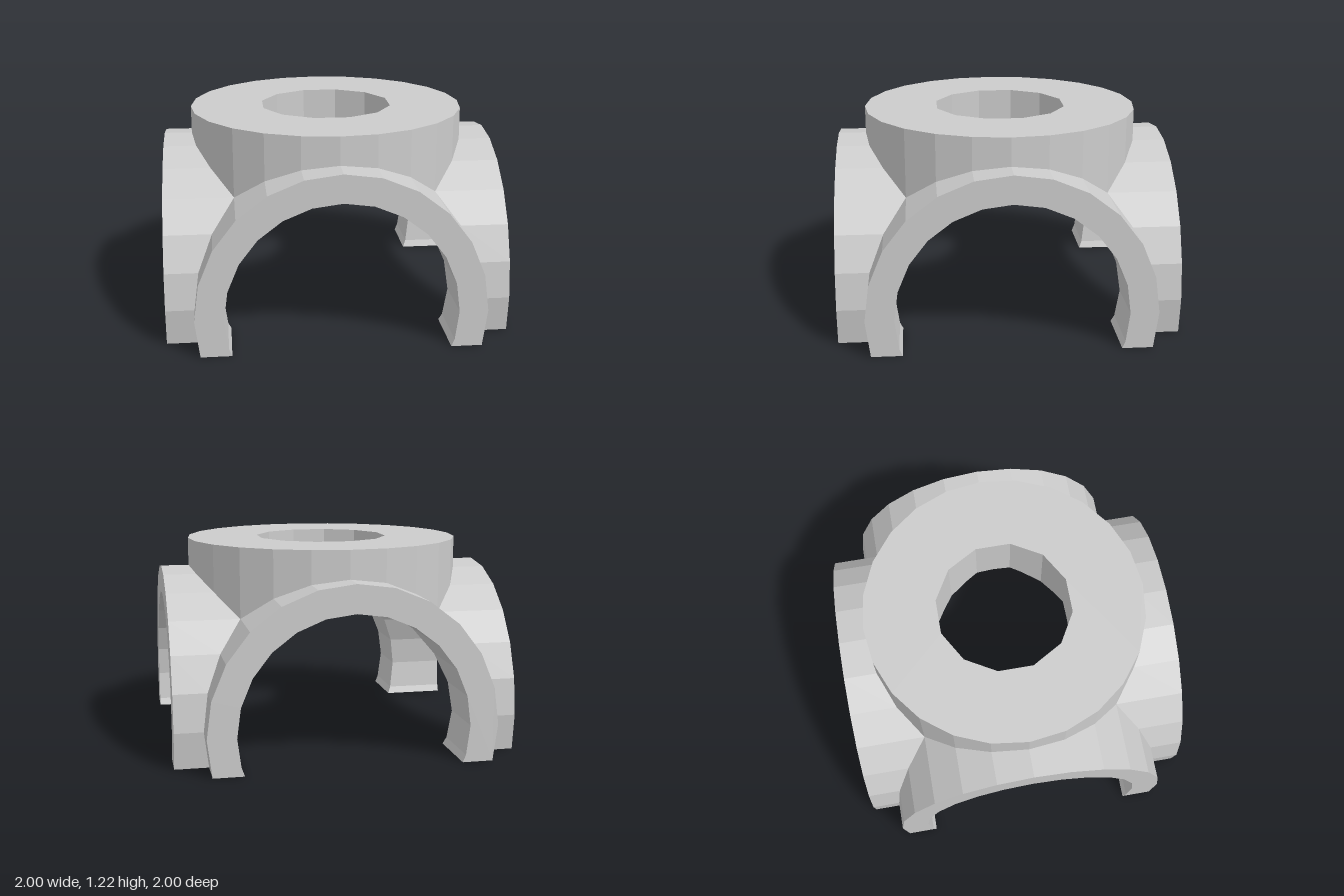
import * as THREE from 'three';

const STEP = Math.PI / 12;          // 24-sided tubes
const R = 0.833, BORE = 0.667;      // outer tube and bore radius
const HOLE = 0.404;                 // 12-sided hole in the top
const AXIS = R * Math.sin(STEP);    // height of the tube axes
const TOP = 1 + AXIS;

const material = new THREE.MeshStandardMaterial({ color: 0xcccccc, flatShading: true, side: THREE.DoubleSide });
const P = (x, y, z) => new THREE.Vector3(x, y, z);

function mesh(name, geometry) {
  const m = new THREE.Mesh(geometry, material);
  m.name = name;
  return m;
}

// Flat-shaded band of quads between two polylines
function strip(name, a, b) {
  const pts = [];
  for (let i = 0; i < a.length - 1; i++) pts.push(a[i], a[i + 1], b[i + 1], a[i], b[i + 1], b[i]);
  const g = new THREE.BufferGeometry().setFromPoints(pts);
  g.computeVertexNormals();
  return mesh(name, g);
}

// Arch profile as {z, y}, over the top from one foot to the other
function arch(radius, from, to) {
  const pts = [];
  for (let i = from; i <= to; i++) {
    pts.push({ z: radius * Math.sin(i * STEP), y: AXIS + radius * Math.cos(i * STEP) });
  }
  return pts;
}

// Corners of the top hole
const holeX = HOLE * Math.cos(STEP), holeZ = HOLE * Math.sin(STEP), holeD = HOLE * Math.SQRT1_2;

// Where the hole edge lies in x at a given z, or the mitre line beyond it
function holeEdge(z) {
  const d = Math.abs(z);
  if (d <= holeZ) return holeX;
  if (d >= holeD) return d;
  return holeX + (holeD - holeX) * (d - holeZ) / (holeD - holeZ);
}

// Bore profile: cut at the ground, with extra points at the hole corners
function boreProfile() {
  const pts = arch(BORE, -7, 7);
  const [p, q] = pts.slice(-2);
  const t = p.y / (AXIS + BORE * Math.cos(8 * STEP) < 0 ? p.y - (AXIS + BORE * Math.cos(8 * STEP)) : p.y);
  const next = { z: BORE * Math.sin(8 * STEP), y: AXIS + BORE * Math.cos(8 * STEP) };
  // the segment that crosses y = 0 runs from step 7 to step 8
  const k = q.y / (q.y - next.y);
  const foot = q.z + (next.z - q.z) * k;
  pts.unshift({ z: -foot, y: 0 });
  pts.push({ z: foot, y: 0 });
  for (const z of [-holeD, -holeZ, holeZ, holeD]) {
    const i = pts.findIndex((a, n) => n > 3 && n < pts.length - 4 && a.z < z && pts[n + 1].z > z);
    const a = pts[i], b = pts[i + 1];
    pts.splice(i + 1, 0, { z, y: a.y + (b.y - a.y) * (z - a.z) / (b.z - a.z) });
  }
  return pts;
}

// One quarter: the arm that points to +x
function createArm() {
  const arm = new THREE.Group();
  const outer = arch(R, -7, 7);
  const inner = boreProfile();

  // Outer skin, starting at the mitre or at the collar
  const outerStart = outer.map((p, i) => {
    const a = (i - 7) * STEP;
    return P(R * Math.max(Math.abs(Math.sin(a)), Math.cos(a)), p.y, p.z);
  });
  const outerEnd = outer.map(p => P(1, p.y, p.z));
  arm.add(strip('archOuter', outerStart, outerEnd));

  // Vaulted underside
  const innerStart = inner.map(p => P(holeEdge(p.z), p.y, p.z));
  const innerEnd = inner.map(p => P(1, p.y, p.z));
  arm.add(strip('archInner', innerEnd, innerStart));

  // End face
  const outline = [...outer, ...inner.slice().reverse()].map(p => new THREE.Vector2(p.z, p.y));
  const face = new THREE.ShapeGeometry(new THREE.Shape(outline));
  arm.add(mesh('archFace', face.rotateY(Math.PI / 2).translate(1, 0, 0)));

  // Soles of the two feet
  const innerFoot = n => [innerStart.at(n), innerEnd.at(n)];
  const outerFoot = n => [outerStart.at(n), outerEnd.at(n)];
  arm.add(strip('footLeft', innerFoot(-1), outerFoot(-1)));
  arm.add(strip('footRight', outerFoot(0), innerFoot(0)));

  // Quarter of the collar wall
  const collar = outerStart.slice(4, 11);
  arm.add(strip('collarWall', collar.map(p => P(p.x, TOP, p.z)), collar));

  // Quarter of the hole wall
  const rim = innerStart.filter(p => p.y > AXIS && Math.abs(p.z) <= holeD + 1e-6);
  arm.add(strip('holeWall', rim, rim.map(p => P(p.x, TOP, p.z))));
  return arm;
}

function polygon(radius, sides, offset) {
  return Array.from({ length: sides }, (_, i) => {
    const a = offset + i * 2 * Math.PI / sides;
    return new THREE.Vector2(radius * Math.cos(a), radius * Math.sin(a));
  });
}

export function createModel() {
  const model = new THREE.Group();
  model.name = 'fourWayArch';

  for (let i = 0; i < 4; i++) {
    const arm = createArm();
    arm.name = ['leftArm', 'backArm', 'rightArm', 'frontArm'][i];
    arm.rotation.y = i * Math.PI / 2;
    model.add(arm);
  }

  // Flat ring on top
  const ring = new THREE.Shape(polygon(R, 24, 0));
  ring.holes.push(new THREE.Path(polygon(HOLE, 12, STEP)));
  model.add(mesh('topRing', new THREE.ShapeGeometry(ring).rotateX(-Math.PI / 2).translate(0, TOP, 0)));
  return model;
}
